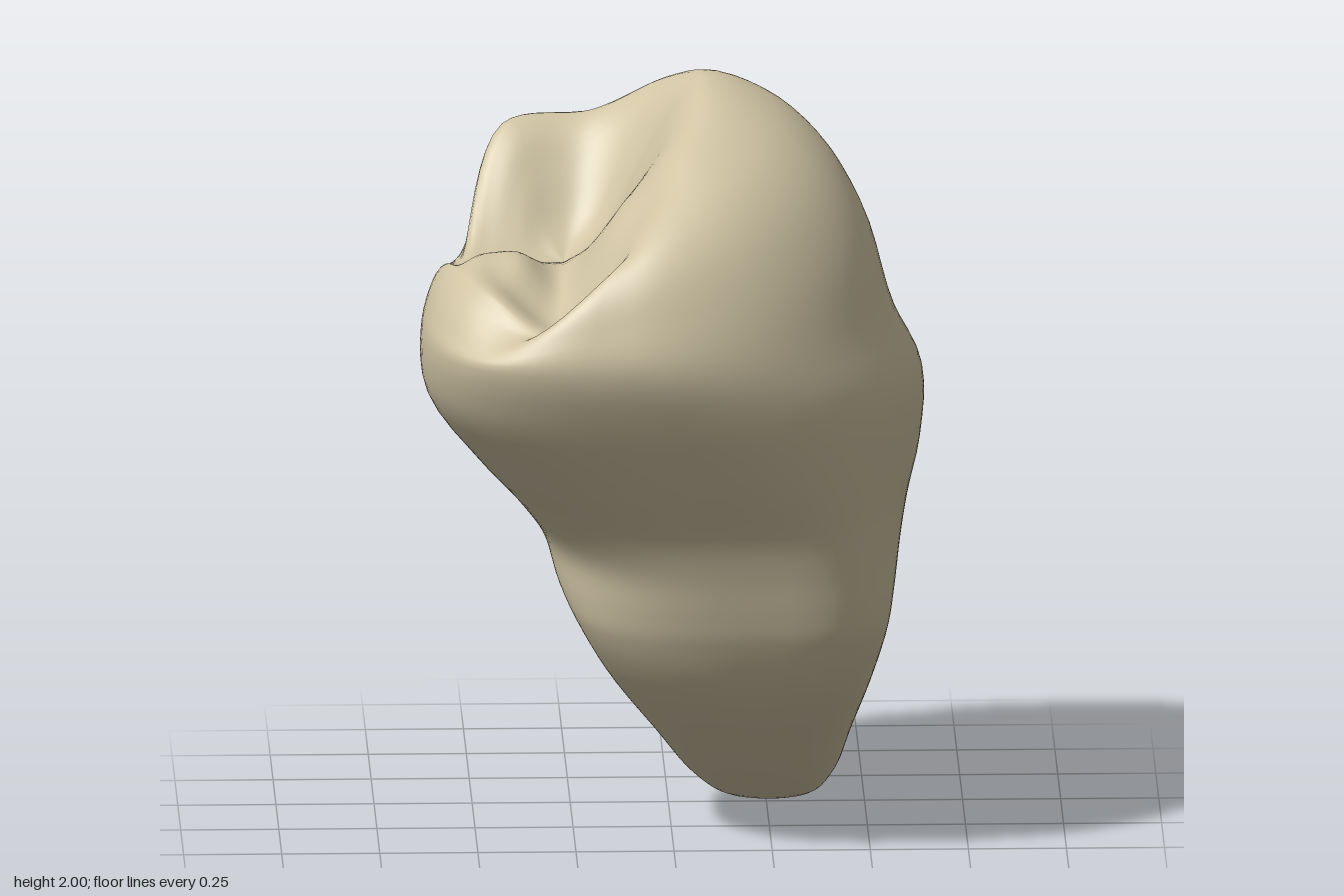
import * as THREE from 'three';

const AROUND = 96;
const lerp = THREE.MathUtils.lerp;

// Rounded ring: x range plus the rear and front ends as (y, z).
// left and right below 1 square off the -x and +x sides; lean shifts the rear to +x.
function ring(x0, x1, yRear, zRear, yFront, zFront, left = 1, right = 1, lean = 0) {
  return (a) => {
    const c = Math.cos(a), sin = Math.sin(a), s = (sin + 1) / 2;
    const side = Math.sign(c) * Math.abs(c) ** (c < 0 ? left : right);
    return new THREE.Vector3(
      (x0 + x1) / 2 + ((x1 - x0) / 2) * side - lean * sin,
      lerp(yRear, yFront, s),
      lerp(zRear, zFront, s)
    );
  };
}

// Smooth skin through a stack of rings, listed from the bottom up
function skin(rings, steps) {
  const pos = [], index = [];
  for (let i = 0; i < AROUND; i++) {
    const a = (i / AROUND) * Math.PI * 2;
    const column = new THREE.CatmullRomCurve3(rings.map((r) => r(a)));
    for (const p of column.getPoints(steps)) pos.push(p.x, p.y, p.z);
  }
  const row = steps + 1;
  for (let i = 0; i < AROUND; i++) {
    const n = (i + 1) % AROUND;
    for (let j = 0; j < steps; j++) {
      const a = i * row + j, b = n * row + j;
      index.push(a, a + 1, b, b, a + 1, b + 1);
    }
  }
  const g = new THREE.BufferGeometry();
  g.setAttribute('position', new THREE.Float32BufferAttribute(pos, 3));
  g.setIndex(index);
  g.computeVertexNormals();
  return g;
}

export function createModel() {
  const ivory = new THREE.MeshStandardMaterial({ color: 0xd0c4a4 });
  ivory.name = 'ivory';
  const group = new THREE.Group();
  group.name = 'tooth';

  // Front root, trunk and crown wall: y, x range, z range, squareness, lean
  const wall = [
    [0.0, 0.265, 0.267, -0.291, -0.289],
    [0.02, 0.14, 0.37, -0.38, -0.2],
    [0.09, 0.06, 0.42, -0.4, -0.06],
    [0.25, -0.04, 0.46, -0.27, 0.17, 0.95, 0.8],
    [0.45, -0.17, 0.51, -0.15, 0.4, 0.9, 0.6, -0.02],
    [0.6, -0.25, 0.545, -0.12, 0.49, 0.85, 0.48, -0.03],
    [0.68, -0.29, 0.56, -0.28, 0.52, 0.8, 0.45, -0.03],
    [0.79, -0.33, 0.58, -0.54, 0.555, 0.75, 0.45, -0.02],
    [0.9, -0.4, 0.6, -0.54, 0.6, 0.75, 0.5, 0],
    [1.05, -0.51, 0.63, -0.48, 0.7, 0.75, 0.65, 0.04],
    [1.25, -0.63, 0.63, -0.41, 0.82, 0.65, 0.85, 0.07],
    [1.42, -0.64, 0.555, -0.36, 0.885, 0.62, 1, 0.08],
  ].map(([y, x0, x1, z0, z1, ...shape]) => ring(x0, x1, y, z0, y, z1, ...shape));

  // Crest of the chewing surface, with cusps and notches, every 30 degrees
  const crestCurve = new THREE.CatmullRomCurve3([
    [0.09, 1.985, 0.2], [0.06, 1.92, 0.4], [0.0, 1.83, 0.58],
    [-0.12, 1.71, 0.72], [-0.31, 1.5, 0.78], [-0.48, 1.58, 0.65],
    [-0.55, 1.6, 0.47], [-0.53, 1.56, 0.22], [-0.43, 1.84, -0.05],
    [-0.2, 1.86, -0.11], [-0.02, 1.95, -0.08], [0.08, 2.0, 0.04],
  ].map((p) => new THREE.Vector3(...p)), true);
  const crest = (a) => crestCurve.getPoint(a / (Math.PI * 2));

  // Rounded shoulder from the wall up to the crest
  const top = wall[wall.length - 1];
  const shoulder = [0.25, 0.5, 0.75, 1].map((t) => (a) => {
    const p0 = top(a), p1 = crest(a);
    const bend = p0.clone().lerp(p1, 0.23);
    bend.y = lerp(p0.y, p1.y, 0.92);
    return new THREE.QuadraticBezierCurve3(p0, bend, p1).getPoint(t);
  });

  // Hollow inside the crest, with a broad ridge between its two pits
  const centre = new THREE.Vector3(-0.28, 1.54, 0.2);
  const hollow = [0.2, 0.45, 0.72, 0.998].map((t) => (a) => {
    const c = crest(a), p = c.clone().lerp(centre, t);
    p.y = lerp(c.y, centre.y, THREE.MathUtils.smoothstep(t, 0, 1));
    p.y += 0.06 * Math.min(1, 2 * t) * Math.exp(-(((p.z - 0.43) / 0.11) ** 2));
    return p;
  });

  const body = new THREE.Mesh(skin([...wall, ...shoulder, ...hollow], 80), ivory);
  body.name = 'crownAndFrontRoot';
  group.add(body);

  // Back root, from its tip up to where it is buried in the trunk
  const backRings = [
    [0.339, 0.341, 0.351, -0.871, 0.349, -0.869],
    [0.27, 0.43, 0.42, -0.88, 0.3, -0.82],
    [0.2, 0.495, 0.49, -0.86, 0.28, -0.72],
    [0.08, 0.53, 0.6, -0.78, 0.31, -0.59],
    [-0.08, 0.555, 0.75, -0.655, 0.4, -0.42],
    [-0.23, 0.585, 0.9, -0.555, 0.51, -0.25],
    [-0.3, 0.6, 1.1, -0.455, 0.61, -0.08],
    [-0.25, 0.54, 1.25, -0.25, 0.8, 0.12],
  ].map((r) => ring(...r));
  const backRoot = new THREE.Mesh(skin(backRings, 32), ivory);
  backRoot.name = 'backRoot';
  group.add(backRoot);

  return group;
}
